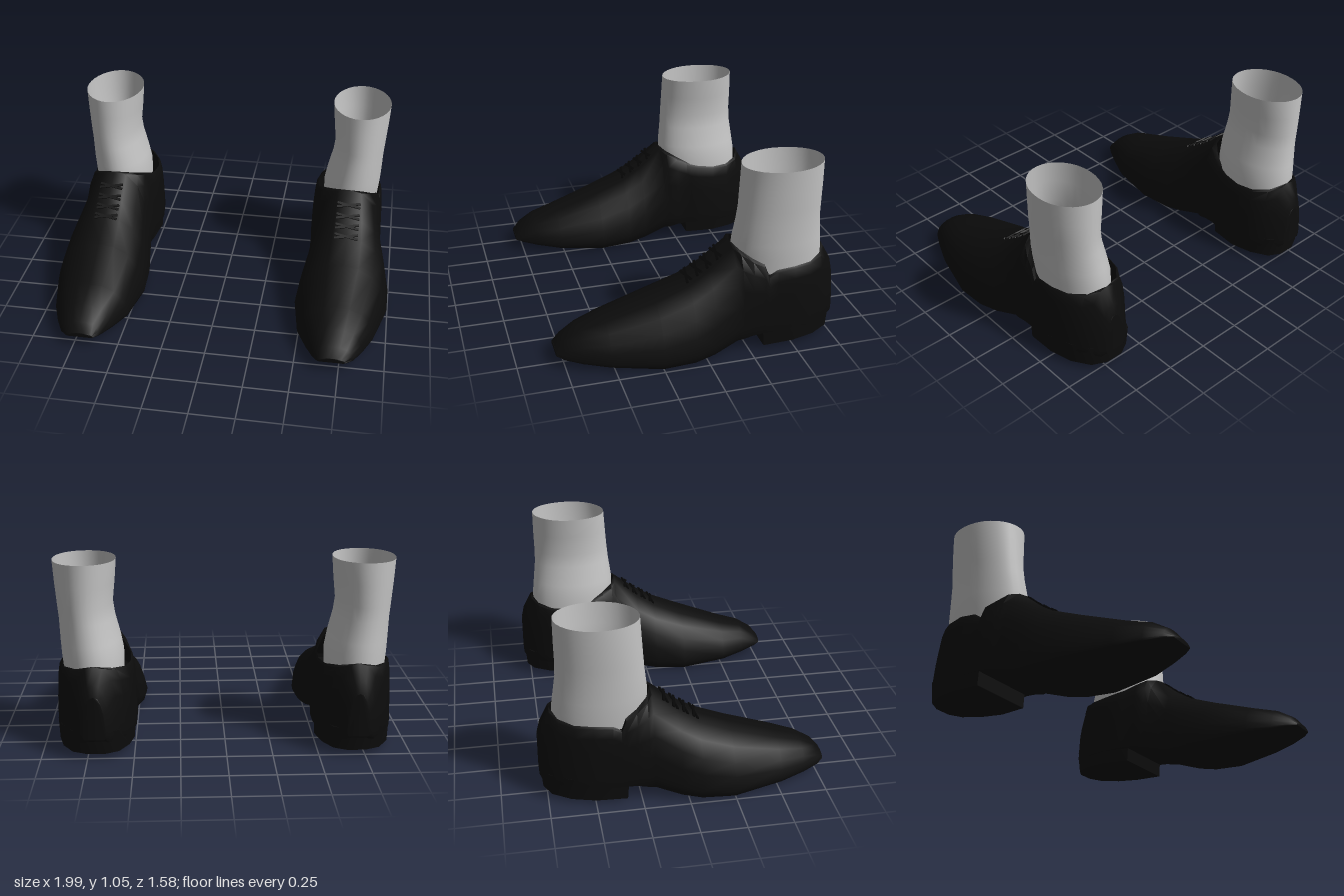
import * as THREE from 'three';
import { toCreasedNormals } from 'three/addons/utils/BufferGeometryUtils.js';

const leather = new THREE.MeshStandardMaterial({ color: 0x0c0c0c, side: THREE.DoubleSide });
leather.name = 'black leather';
const cotton = new THREE.MeshStandardMaterial({ color: 0xc4c4c4, side: THREE.DoubleSide });
cotton.name = 'light grey cotton';
const cord = new THREE.MeshStandardMaterial({ color: 0x060606 });
cord.name = 'black lace';

// Joins rings of [x, y, z] points; s = -1 mirrors the part across x
function loft(rings, s, { closed = false, caps = false, crease = 0.8 } = {}) {
  const n = rings[0].length, idx = [];
  const tri = (a, b, c) => (s > 0 ? idx.push(a, b, c) : idx.push(a, c, b));
  for (let r = 0; r < rings.length - 1; r++) {
    for (let i = 0; i < (closed ? n : n - 1); i++) {
      const a = r * n + i, b = r * n + (i + 1) % n;
      tri(a, a + n, b);
      tri(b, a + n, b + n);
    }
  }
  if (caps) {
    const e = (rings.length - 1) * n;
    for (let i = 1; i < n - 1; i++) {
      tri(0, i, i + 1);
      tri(e, e + i + 1, e + i);
    }
  }
  const g = new THREE.BufferGeometry();
  g.setAttribute('position', new THREE.Float32BufferAttribute(rings.flat().flatMap(([x, y, z]) => [x * s, y, z]), 3));
  g.setIndex(idx);
  return toCreasedNormals(g, crease);
}

// Shoe stations, toe to heel: z, inner x, outer x, bottom, inner top, outer top, collar opening
const stations = [
  [0.79, 0.63, 0.79, 0.06, 0.085, 0.085, 0],
  [0.75, 0.6, 0.83, 0.05, 0.135, 0.135, 0],
  [0.66, 0.555, 0.875, 0.035, 0.19, 0.19, 0],
  [0.52, 0.495, 0.93, 0.02, 0.232, 0.232, 0],
  [0.25, 0.455, 0.995, 0, 0.33, 0.33, 0],
  [0.07, 0.465, 0.995, 0.01, 0.405, 0.405, 0],
  [-0.04, 0.485, 0.975, 0.03, 0.475, 0.475, 0],
  [-0.18, 0.505, 0.94, 0.075, 0.59, 0.59, 0],
  [-0.21, 0.5, 0.935, 0.08, 0.575, 0.57, 0.4],
  [-0.27, 0.5, 0.932, 0.095, 0.545, 0.53, 0.63],
  [-0.33, 0.5, 0.93, 0.1, 0.515, 0.5, 0.77],
  [-0.355, 0.495, 0.93, 0.1, 0.5, 0.435, 0.82],
  [-0.4, 0.49, 0.928, 0.1, 0.49, 0.465, 0.86],
  [-0.5, 0.49, 0.925, 0.1, 0.475, 0.475, 0.88],
  [-0.6, 0.505, 0.905, 0.1, 0.475, 0.475, 0.82],
  [-0.68, 0.54, 0.87, 0.1, 0.49, 0.485, 0.6],
  [-0.72, 0.57, 0.845, 0.1, 0.51, 0.51, 0],
  [-0.77, 0.62, 0.8, 0.1, 0.42, 0.42, 0],
  [-0.785, 0.645, 0.77, 0.12, 0.36, 0.36, 0],
];
// Half cross-section from crest to sole edge: width and height fractions
const half = [[0, 1], [0.33, 0.97], [0.65, 0.82], [0.84, 0.6], [0.93, 0.38], [1, 0.14], [0.98, 0.06], [0.9, 0]];

function upperRing([z, xi, xo, yb, yi, yo, open]) {
  const mid = (xi + xo) / 2, w = (xo - xi) / 2;
  const side = (dir, top) => half.map(([u, v]) =>
    [mid + dir * w * (open + (1 - open) * u), yb + (top - yb) * v, z]);
  return [...side(-1, yi), [mid, yb, z], ...side(1, yo).reverse()];
}

// Heel block outline: x, z
const heelOutline = [
  [0.92, -0.33], [0.53, -0.33], [0.505, -0.5], [0.53, -0.63], [0.58, -0.73],
  [0.65, -0.77], [0.75, -0.77], [0.83, -0.73], [0.89, -0.63], [0.92, -0.5],
].reverse();
function heelRing(top) {
  return heelOutline.map(([x, z]) => {
    const k = top && z < -0.4 ? 1.03 : 1;
    return [0.715 + (x - 0.715) * k, top ? 0.12 + 0.04 * Math.min(1, (-z - 0.33) / 0.3) : 0.02 + (-z - 0.33) * 0.035,
      -0.5 + (z + 0.5) * (top ? 1.04 : 1)];
  });
}

// Sock rings: y, inner x, outer x, front z, back z
const sockRows = [
  [0.43, 0.555, 0.885, -0.205, -0.705],
  [0.52, 0.555, 0.895, -0.195, -0.705],
  [0.6, 0.57, 0.9, -0.195, -0.695],
  [0.72, 0.6, 0.905, -0.21, -0.68],
  [0.8, 0.61, 0.912, -0.217, -0.678],
  [0.92, 0.597, 0.922, -0.225, -0.68],
  [1.04, 0.587, 0.93, -0.232, -0.68],
];
function sockRing([y, xi, xo, zf, zb], row) {
  return Array.from({ length: 32 }, (_, i) => {
    const a = (i / 32) * Math.PI * 2, c = Math.cos(a), sn = Math.sin(a);
    const dip = row === sockRows.length - 1 ? 0.006 * sn * sn * -Math.sign(sn) : 0;
    return [(xi + xo) / 2 + c * (xo - xi) / 2, y + dip, (zf + zb) / 2 + sn * (zf - zb) / 2];
  });
}

function buildFoot(s) {
  const foot = new THREE.Group();
  const add = (name, geo, mat) => {
    const m = new THREE.Mesh(geo, mat);
    m.name = name;
    foot.add(m);
    return m;
  };
  add('shoeUpper', loft(stations.map(upperRing), s, { caps: false }), leather);
  // Blunt toe and back faces
  const toe = upperRing(stations[0]), back = upperRing(stations[stations.length - 1]);
  const shrink = (ring, dz) => ring.map(([x, y, z]) => [0.71 + (x - 0.71) * 0.9, y, z + dz]);
  add('toeTip', loft([shrink(toe, 0.002), toe], s, { caps: true }), leather);
  add('heelCounter', loft([back, shrink(back, -0.002)], s, { caps: true }), leather);
  add('heelBlock', loft([heelRing(false), heelRing(true)], s, { closed: true, caps: true, crease: 0.6 }), leather);
  add('sock', loft(sockRows.map(sockRing), s, { closed: true, crease: 1 }), cotton);

  // Crossed laces over the instep
  for (let i = 0; i < 4; i++) {
    const z = 0.06 - i * 0.055;
    const y = z > -0.04 ? 0.405 + (0.07 - z) * 0.636 : 0.475 + (-0.04 - z) * 0.821;
    for (const d of [-1, 1]) {
      const lace = add('lace', new THREE.BoxGeometry(0.14, 0.008, 0.014), cord);
      lace.position.set(s * 0.726, y + 0.001, z);
      lace.rotation.set(0.62, d * 0.2, 0);
    }
  }
  return foot;
}

export function createModel() {
  const model = new THREE.Group();
  model.name = 'shoesAndSocks';
  for (const [name, s] of [['leftFoot', 1], ['rightFoot', -1]]) {
    const foot = buildFoot(s);
    foot.name = name;
    model.add(foot);
  }
  return model;
}
